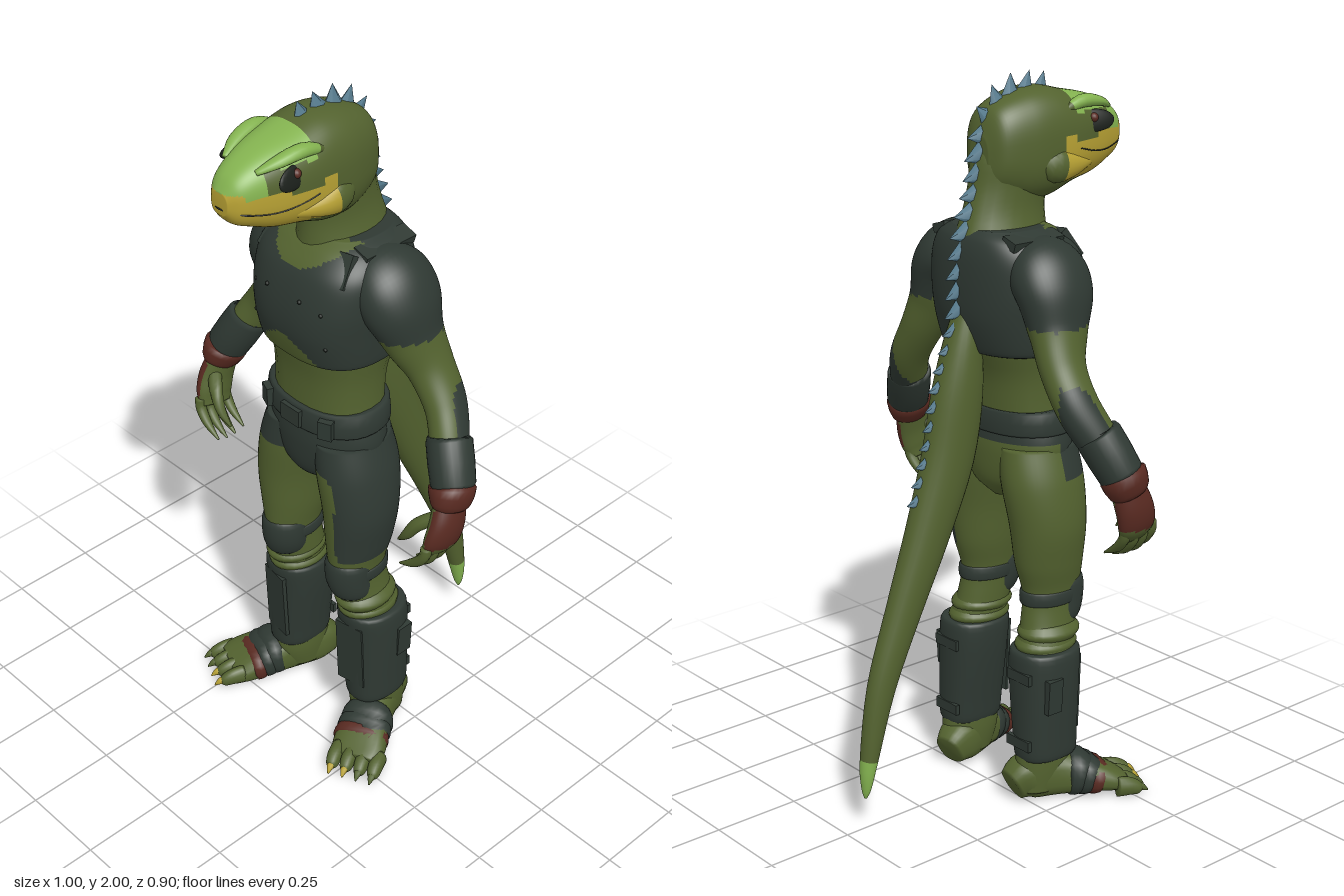
import * as THREE from 'three';

const mat = (name, color) => Object.assign(new THREE.MeshStandardMaterial({ color }), { name });
const skin = mat('olive skin', 0x53622f);
const dark = mat('dark cloth', 0x2f3933);
const lime = mat('light green scales', 0x84b350);
const yellow = mat('yellow jaw', 0xb8a234);
const red = mat('red leather', 0x592a21);
const blue = mat('blue spines', 0x577d90);
const black = mat('dark lines', 0x1c211c);

// Catmull-Rom interpolation of a list of number rows
function smoothRows(rows, sub) {
  const out = [], n = rows.length - 1;
  for (let i = 0; i < n; i++) {
    const [a, b, c, d] = [rows[Math.max(i - 1, 0)], rows[i], rows[i + 1], rows[Math.min(i + 2, n)]];
    for (let s = 0; s < sub; s++) {
      const t = s / sub;
      out.push(b.map((_, k) => b[k] + 0.5 * t * (c[k] - a[k] + t * (2 * a[k] - 5 * b[k] + 4 * c[k] - d[k]
        + t * (3 * (b[k] - c[k]) + d[k] - a[k])))));
    }
  }
  out.push(rows[n]);
  return out;
}

const Y = new THREE.Vector3(0, 1, 0), Z = new THREE.Vector3(0, 0, 1);

// Skin rows of [x, y, z, width radius, depth radius]; the rings stand across the path, or across a fixed axis.
// pick(centre) chooses the material of each face.
function loft(parent, name, rows, mats, { axis, seg = 24, sub = 4, e = 1, side = 1, pick = () => 0 } = {}) {
  mats = [].concat(mats);
  const r = smoothRows(rows, sub).map(([x, ...rest]) => [x * side, ...rest]);
  const centre = r.map(q => new THREE.Vector3(q[0], q[1], q[2]));
  const pts = [], faces = mats.map(() => []);
  const pw = v => Math.sign(v) * Math.abs(v) ** e;
  r.forEach((q, i) => {
    const t = axis ? axis.clone()
      : centre[Math.min(i + 1, r.length - 1)].clone().sub(centre[Math.max(i - 1, 0)]).normalize();
    const u = new THREE.Vector3(1, 0, 0);
    u.addScaledVector(t, -u.dot(t)).normalize();
    const v = t.clone().cross(u);
    for (let j = 0; j < seg; j++) {
      const a = j / seg * Math.PI * 2;
      const p = centre[i].clone().addScaledVector(u, q[3] * pw(Math.cos(a))).addScaledVector(v, q[4] * pw(Math.sin(a)));
      p.y = Math.max(p.y, 0);
      pts.push(p);
    }
  });
  const first = pts.push(centre[0]) - 1, last = pts.push(centre[r.length - 1]) - 1;
  const choose = ids => {
    const m = new THREE.Vector3();
    ids.forEach(k => m.add(pts[k]));
    m.divideScalar(ids.length);
    m.x *= side;
    return pick(m);
  };
  // Fixed-axis rows may run up or down the axis
  const flip = axis && centre[r.length - 1].clone().sub(centre[0]).dot(axis) < 0;
  const add = (a, b, c, m) => flip ? faces[m].push(a, c, b) : faces[m].push(a, b, c);
  for (let j = 0; j < seg; j++) {
    const k = (j + 1) % seg, top = (r.length - 1) * seg;
    add(first, k, j, choose([first, j, k]));
    add(last, top + j, top + k, choose([last, top + j, top + k]));
    for (let i = 0; i < r.length - 1; i++) {
      const a = i * seg + j, b = i * seg + k, m = choose([a, b, a + seg, b + seg]);
      add(a, b, b + seg, m);
      add(a, b + seg, a + seg, m);
    }
  }
  const g = new THREE.BufferGeometry().setFromPoints(pts);
  g.setIndex(faces.flat());
  let start = 0;
  faces.forEach((f, m) => { g.addGroup(start, f.length, m); start += f.length; });
  g.computeVertexNormals();
  const mesh = new THREE.Mesh(g, mats);
  mesh.name = name;
  parent.add(mesh);
}

function put(parent, name, geo, material, pos, rot = [0, 0, 0], scale = [1, 1, 1]) {
  const m = new THREE.Mesh(geo, material);
  m.name = name;
  m.position.set(...pos);
  m.rotation.set(...rot);
  m.scale.set(...scale);
  parent.add(m);
  return m;
}
const box = (w, h, d) => new THREE.BoxGeometry(w, h, d);

// Head sections along z: [x, y, z, half width, half height]
const headRows = [[0, 1.79, -0.03, 0.035, 0.06], [0, 1.81, 0, 0.08, 0.11], [0, 1.813, 0.08, 0.108, 0.143],
  [0, 1.818, 0.16, 0.116, 0.147], [0, 1.823, 0.24, 0.112, 0.125], [0, 1.823, 0.32, 0.094, 0.108],
  [0, 1.823, 0.38, 0.073, 0.085], [0, 1.82, 0.42, 0.054, 0.062], [0, 1.818, 0.445, 0.028, 0.03]];
function headX(y, z) {
  const i = Math.max(1, headRows.findIndex(r => r[2] >= z)), a = headRows[i - 1], b = headRows[i];
  const q = a.map((v, k) => v + (b[k] - v) * (z - a[2]) / (b[2] - a[2]));
  return q[3] * Math.max(0, 1 - Math.abs((y - q[1]) / q[4]) ** (2 / 0.8)) ** 0.4;
}

function buildHead(g) {
  loft(g, 'head', headRows, [skin, lime, yellow], { axis: Z, seg: 64, sub: 8, e: 0.8, pick: p => {
    if (p.z > 0.165 && p.y > 1.722 && p.y < (p.z > 0.41 ? 1.848 : 1.832)) return 2;
    return p.z > 0.215 && p.y > 1.8 && (p.y > 1.895 || p.z > 0.36) ? 1 : 0;
  } });
  loft(g, 'neck', [[0, 1.48, 0.05, 0.14, 0.15], [0, 1.57, 0.045, 0.105, 0.14], [0, 1.65, 0.055, 0.082, 0.125],
    [0, 1.72, 0.068, 0.08, 0.118], [0, 1.8, 0.065, 0.085, 0.1], [0, 1.86, 0.07, 0.07, 0.07]], skin, { axis: Y });
  // Mouth line wraps both sides of the snout
  const mouth = [];
  for (let i = -8; i <= 8; i++) {
    const z = 0.444 - Math.abs(i) / 8 * 0.22, y = 1.805 - 0.02 * Math.sin(Math.abs(i) / 8 * Math.PI);
    mouth.push(new THREE.Vector3(i ? Math.sign(i) * headX(y, z) : 0, y, i ? z : 0.446));
  }
  put(g, 'mouthLine', new THREE.TubeGeometry(new THREE.CatmullRomCurve3(mouth), 48, 0.0025, 5), black, [0, 0, 0]);
  for (const s of [-1, 1]) {
    put(g, 'eyeSocket', new THREE.SphereGeometry(1, 20, 12), black, [s * (headX(1.868, 0.29) - 0.002), 1.868, 0.29], [0, s * 0.22, s * 0.25], [0.009, 0.03, 0.06]);
    put(g, 'eye', new THREE.SphereGeometry(0.013, 14, 10), red, [s * headX(1.876, 0.285), 1.876, 0.285]);
    loft(g, 'brow', [[0.055, 1.895, 0.375, 0.008, 0.006], [0.076, 1.914, 0.32, 0.02, 0.014],
      [0.086, 1.922, 0.25, 0.02, 0.018], [0.088, 1.9, 0.18, 0.008, 0.008]], [skin, lime], { side: s, seg: 16, pick: p => p.z > 0.215 ? 1 : 0 });
    loft(g, 'cheek', [[0.075, 1.81, 0.1, 0.01, 0.01], [0.096, 1.77, 0.14, 0.03, 0.045],
      [0.096, 1.762, 0.2, 0.03, 0.036], [0.085, 1.762, 0.28, 0.01, 0.012]], [skin, yellow], { side: s, seg: 20, pick: p => p.z > 0.165 ? 1 : 0 });
  }
}

function buildTorso(g) {
  loft(g, 'abdomen', [[0, 1.04, 0.1, 0.165, 0.115], [0, 1.13, 0.095, 0.158, 0.118], [0, 1.22, 0.09, 0.16, 0.125],
    [0, 1.32, 0.08, 0.175, 0.15], [0, 1.42, 0.08, 0.17, 0.15]], skin, { axis: Y, e: 0.85 });
  loft(g, 'vest', [[0, 1.285, 0.085, 0.18, 0.15], [0, 1.3, 0.083, 0.19, 0.163], [0, 1.38, 0.08, 0.198, 0.183], [0, 1.46, 0.075, 0.205, 0.183],
    [0, 1.54, 0.065, 0.2, 0.168], [0, 1.59, 0.05, 0.17, 0.14], [0, 1.615, 0.04, 0.12, 0.11]], [dark, skin],
  { axis: Y, seg: 96, sub: 10, e: 0.8, pick: p => p.z > 0.09 && (p.y > 1.55 + 4 * p.x * p.x || p.y < 1.362 - 7 * p.x * p.x) ? 1 : 0 });
  loft(g, 'pelvis', [[0, 0.86, 0.1, 0.04, 0.07], [0, 0.91, 0.1, 0.13, 0.112], [0, 1.0, 0.1, 0.182, 0.124],
    [0, 1.08, 0.1, 0.172, 0.12]], [dark, skin], { axis: Y, seg: 48, sub: 8, pick: p => p.z < 0.1 && p.x < 0.1 && p.y < 1.03 ? 1 : 0 });
  loft(g, 'belt', [[0, 1.06, 0.1, 0.176, 0.126], [0, 1.065, 0.1, 0.185, 0.132], [0, 1.12, 0.098, 0.18, 0.13], [0, 1.125, 0.098, 0.165, 0.12]],
    dark, { axis: Y, seg: 32, sub: 2, e: 0.9 });
  put(g, 'buckle', box(0.07, 0.05, 0.02), dark, [0, 1.092, 0.23]);
  for (const s of [-1, 1]) {
    put(g, 'beltPouch', box(0.04, 0.055, 0.03), dark, [s * 0.11, 1.09, 0.21], [0, s * 0.4, 0]);
    put(g, 'frontStrap', box(0.045, 0.09, 0.02), dark, [s * 0.13, 1.565, 0.165], [-0.6, 0, s * 0.15]);
    put(g, 'shoulderStrap', box(0.05, 0.025, 0.17), dark, [s * 0.14, 1.592, 0.035], [0, 0, s * -0.3]);
    for (const [x, y] of [[0.06, 1.48], [0.12, 1.46], [0.13, 1.36]])
      put(g, 'vestStud', new THREE.SphereGeometry(0.006, 8, 6), black, [s * x, y, 0.075 + 0.18 * (1 - (x / 0.205) ** 2.5) ** 0.4]);
  }
}

function buildTail(g) {
  loft(g, 'tail', [[0, 1.45, -0.06, 0.025, 0.02], [0, 1.32, -0.085, 0.05, 0.05], [0, 1.18, -0.105, 0.06, 0.075], [0, 1.0, -0.14, 0.058, 0.08],
    [0, 0.8, -0.213, 0.051, 0.068], [0, 0.6, -0.297, 0.042, 0.054], [0, 0.4, -0.376, 0.035, 0.042],
    [0, 0.2, -0.422, 0.026, 0.025], [0, 0.12, -0.433, 0.016, 0.013], [0, 0.09, -0.436, 0.004, 0.004]], [skin, lime],
  { pick: p => p.y < 0.19 ? 1 : 0 });
  // Row of spines from the crown down to the tail
  const line = new THREE.CatmullRomCurve3([[1.95, 0.18], [1.957, 0.1], [1.93, 0.02], [1.84, -0.03], [1.72, -0.05],
    [1.6, -0.09], [1.48, -0.108], [1.35, -0.118], [1.2, -0.17], [1.05, -0.202], [0.9, -0.247]].map(([y, z]) => new THREE.Vector3(0, y, z)));
  const n = 25;
  for (let i = 0; i < n; i++) {
    const p = line.getPointAt(i / (n - 1)), t = line.getTangentAt(i / (n - 1));
    const out = new THREE.Vector3(0, -t.z, t.y).addScaledVector(t, i < 5 ? -0.2 : 0.45).normalize();
    if (out.z > 0 && i > 4) out.z *= -1;
    const size = i < 3 ? 1.1 : 1 - i * 0.012;
    const m = put(g, 'spine', new THREE.ConeGeometry(0.04, 0.075, 6), blue, [0, p.y + out.y * 0.008, p.z + out.z * 0.008], [0, 0, 0], [0.58 * size, size, size]);
    m.quaternion.setFromUnitVectors(Y, out);
  }
}

function buildArm(g, s) {
  loft(g, 'arm', [[0.11, 1.53, 0.05, 0.07, 0.08], [0.17, 1.515, 0.05, 0.086, 0.112], [0.213, 1.46, 0.045, 0.082, 0.115],
    [0.244, 1.37, 0.03, 0.066, 0.088], [0.285, 1.285, 0.01, 0.054, 0.068], [0.342, 1.195, 0.01, 0.05, 0.062],
    [0.39, 1.11, 0.04, 0.048, 0.056], [0.435, 1.02, 0.075, 0.04, 0.045]], [dark, skin],
  { side: s, seg: 48, sub: 8, pick: p => p.y > 1.385 || (p.y < 1.25 && p.z < 0.03 + (1.2 - p.y) * 0.4 && p.x > 0.34) ? 0 : 1 });
  loft(g, 'wristGuard', [[0.388, 1.125, 0.04, 0.05, 0.055], [0.39, 1.12, 0.042, 0.059, 0.064], [0.44, 1.025, 0.075, 0.059, 0.06],
    [0.445, 1.015, 0.078, 0.045, 0.045]], dark, { side: s, sub: 2 });
  loft(g, 'wristBand', [[0.437, 1.03, 0.078, 0.04, 0.045], [0.442, 1.02, 0.08, 0.06, 0.066], [0.452, 0.98, 0.095, 0.048, 0.06], [0.456, 0.965, 0.1, 0.035, 0.045]],
    red, { side: s, sub: 2 });
  loft(g, 'hand', [[0.445, 0.99, 0.09, 0.035, 0.05], [0.456, 0.93, 0.11, 0.036, 0.058], [0.452, 0.88, 0.125, 0.032, 0.06],
    [0.438, 0.845, 0.132, 0.02, 0.05]], [red, skin], { side: s, seg: 32, sub: 6, pick: p => p.y < 0.87 || p.x < 0.447 ? 1 : 0 });
  for (let i = 0; i < 4; i++) {
    const z = 0.085 + i * 0.031, y = 0.01 * Math.abs(i - 1.5);
    loft(g, 'finger', [[0.45, 0.875, z, 0.015, 0.016], [0.445, 0.83 + y, z + 0.003, 0.015, 0.016],
      [0.415, 0.795 + y, z + 0.007, 0.013, 0.013], [0.365, 0.765 + y, z + 0.01, 0.003, 0.003]], skin, { side: s, seg: 10 });
  }
  loft(g, 'thumb', [[0.44, 0.945, 0.13, 0.02, 0.02], [0.4, 0.915, 0.16, 0.019, 0.018], [0.37, 0.87, 0.17, 0.014, 0.014],
    [0.335, 0.83, 0.165, 0.003, 0.003]], skin, { side: s, seg: 10 });
}

function buildLeg(g, s) {
  // Only the left thigh has a dark outer panel
  loft(g, 'leg', [[0.09, 1.02, 0.1, 0.09, 0.115], [0.112, 0.92, 0.1, 0.098, 0.124], [0.13, 0.8, 0.105, 0.093, 0.115],
    [0.13, 0.69, 0.11, 0.079, 0.105], [0.13, 0.6, 0.118, 0.062, 0.09], [0.135, 0.52, 0.105, 0.062, 0.086], [0.145, 0.45, 0.088, 0.07, 0.086],
    [0.15, 0.35, 0.075, 0.077, 0.088], [0.16, 0.2, 0.072, 0.066, 0.085], [0.16, 0.1, 0.07, 0.064, 0.09], [0.16, 0.03, 0.06, 0.055, 0.08]],
  [skin, dark], { axis: Y, side: s, seg: 48, sub: 8, pick: p => (s > 0 && p.y > 0.65 && p.x > 0.145 - Math.max(0, p.y - 0.85) * 0.2)
    || (p.z > 0.1 && p.y > 0.94) ? 1 : 0 });
  loft(g, 'kneePad', [[0.13, 0.65, 0.15, 0.035, 0.04], [0.13, 0.63, 0.15, 0.062, 0.066], [0.13, 0.57, 0.15, 0.064, 0.068],
    [0.135, 0.52, 0.14, 0.055, 0.062], [0.137, 0.5, 0.14, 0.03, 0.03]], dark, { axis: Y, side: s });
  loft(g, 'kneeStrap', [[0.13, 0.61, 0.115, 0.06, 0.088], [0.13, 0.605, 0.115, 0.067, 0.094], [0.13, 0.575, 0.113, 0.066, 0.093], [0.13, 0.57, 0.113, 0.06, 0.086]],
    dark, { axis: Y, side: s, sub: 2 });
  // Loose trouser folds under the knee
  for (const [y, z] of [[0.49, 0.1], [0.455, 0.09]])
    loft(g, 'trouserFold', [[0.142, y + 0.025, z, 0.055, 0.075], [0.142, y, z, 0.075, 0.095], [0.145, y - 0.025, z, 0.06, 0.08]], skin, { axis: Y, side: s });
  loft(g, 'shinGuard', [[0.148, 0.445, 0.08, 0.07, 0.085], [0.149, 0.435, 0.08, 0.086, 0.099], [0.152, 0.35, 0.076, 0.086, 0.098],
    [0.16, 0.2, 0.074, 0.074, 0.095], [0.163, 0.135, 0.074, 0.068, 0.092], [0.163, 0.125, 0.074, 0.055, 0.08]], dark, { axis: Y, side: s, e: 0.85 });
  put(g, 'shinPlate', box(0.09, 0.22, 0.012), dark, [s * 0.155, 0.3, 0.168], [0.04, s * 0.15, 0]);
  put(g, 'shinPouch', box(0.02, 0.1, 0.05), dark, [s * 0.232, 0.33, 0.04], [0, 0, s * -0.06]);
  for (const y of [0.18, 0.38])
    put(g, 'calfStrap', box(0.09, 0.03, 0.012), dark, [s * 0.155, y, -0.018]);
  // Foot pointing outwards, with strapped instep and clawed toes
  loft(g, 'foot', [[0.138, 0.045, -0.028, 0.04, 0.045], [0.148, 0.065, 0.02, 0.057, 0.065], [0.178, 0.065, 0.1, 0.062, 0.065],
    [0.222, 0.05, 0.18, 0.074, 0.05], [0.255, 0.034, 0.235, 0.078, 0.034], [0.268, 0.025, 0.262, 0.065, 0.025]], skin, { side: s, e: 0.75 });
  const strap = (m, d) => loft(g, 'footStrap', [[0.205, 0.056, 0.15, 0.06, 0.045], [0.207, 0.056, 0.153, 0.073, 0.061], [0.221, 0.052, 0.178, 0.078, 0.057],
    [0.223, 0.05, 0.181, 0.065, 0.04]].map(([x, y, z, a, b]) => [x + d * 0.46, y - d * 0.3, z + d * 0.89, a + d * 0.1, b - d * 0.3]), m, { side: s, sub: 2, e: 0.85 });
  strap(red, 0.032);
  strap(dark, 0.004);
  strap(dark, -0.022);
  for (let k = -1.5; k <= 1.5; k++) {
    const x = 0.262 + 0.037 * k, z = 0.235 - 0.018 * k;
    loft(g, 'toe', [[x, 0.03, z, 0.021, 0.03], [x + 0.014, 0.028, z + 0.03, 0.021, 0.027], [x + 0.027, 0.02, z + 0.055, 0.017, 0.019],
      [x + 0.032, 0.017, z + 0.064, 0.009, 0.01]], skin, { side: s, seg: 12 });
    loft(g, 'claw', [[x + 0.025, 0.024, z + 0.05, 0.012, 0.012], [x + 0.032, 0.02, z + 0.066, 0.01, 0.011], [x + 0.04, 0.009, z + 0.082, 0.002, 0.002]],
      k < 0 ? yellow : skin, { side: s, seg: 8 });
  }
}

export function createModel() {
  const model = new THREE.Group();
  const part = (name, build, s) => {
    const g = new THREE.Group();
    g.name = name;
    build(g, s);
    model.add(g);
  };
  part('headAndNeck', buildHead);
  part('torso', buildTorso);
  part('tailAndSpines', buildTail);
  for (const s of [1, -1]) {
    part(s > 0 ? 'leftArm' : 'rightArm', buildArm, s);
    part(s > 0 ? 'leftLeg' : 'rightLeg', buildLeg, s);
  }
  return model;
}
